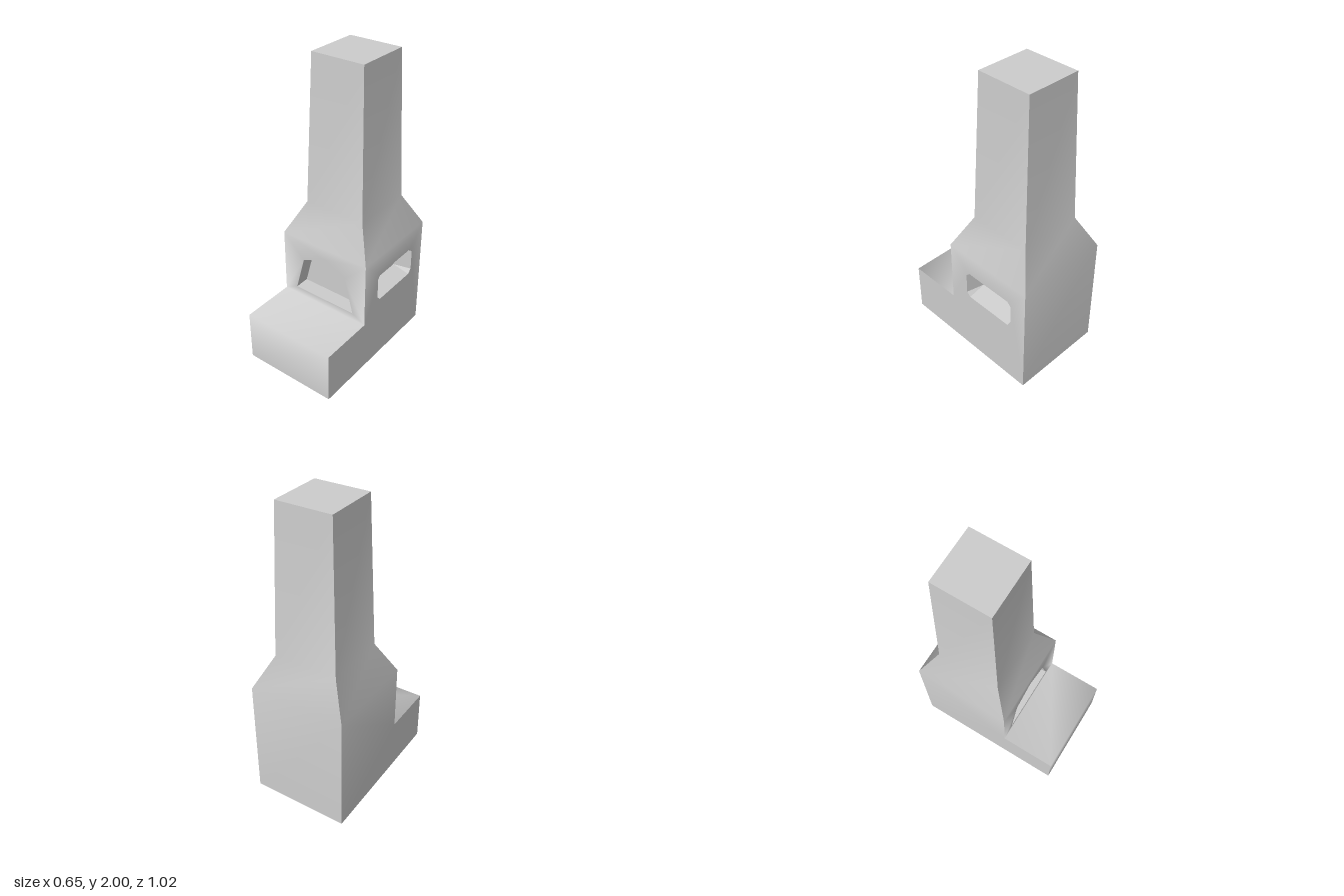
import * as THREE from 'three';
import { mergeGeometries, mergeVertices } from 'three/addons/utils/BufferGeometryUtils.js';

const material = new THREE.MeshStandardMaterial({ color: 0xcccccc });

// Flat quad from four corners, counter-clockwise seen from outside
function quad(a, b, c, d) {
  const g = new THREE.BufferGeometry();
  g.setAttribute('position', new THREE.Float32BufferAttribute([a, b, c, a, c, d].flat(), 3));
  return g;
}

// Flat wall from an outline with an optional hole
function wall(outline, hole) {
  const v = (p) => new THREE.Vector2(p[0], p[1]);
  const shape = new THREE.Shape(outline.map(v));
  if (hole) shape.holes.push(new THREE.Path(hole.map(v)));
  const g = new THREE.ShapeGeometry(shape).toNonIndexed();
  g.deleteAttribute('normal');
  g.deleteAttribute('uv');
  return g;
}

// Joins pieces into one named mesh; smooth pieces share their normals
function part(name, pieces, smooth = true) {
  let g = mergeGeometries(pieces);
  if (smooth) g = mergeVertices(g, 1e-4);
  g.computeVertexNormals();
  const mesh = new THREE.Mesh(g, material);
  mesh.name = name;
  return mesh;
}

// Walls and back of a sunken opening between two rings of corners
function recess(name, outer, inner) {
  const n = outer.length;
  const pieces = outer.map((p, i) => quad(p, outer[(i + 1) % n], inner[(i + 1) % n], inner[i]));
  for (let i = 1; i < n - 1; i++) pieces.push(quad(inner[0], inner[i], inner[i + 1], inner[i + 1]));
  return part(name, pieces, false);
}

export function createModel() {
  const group = new THREE.Group();
  const W = 0.325, F = 0.51, B = -0.51, Z = 0.14, H = 0.35, S = 0.8;

  // Square cross-sections of the body, shoulder and chimney
  const level = (y, w, f, b) => [[-w, y, f], [w, y, f], [w, y, b], [-w, y, b]];
  const base = level(0, W, F, B);
  const step = level(H, W, F, Z);
  const body = level(S, W, Z, B);
  const neck = level(1.02, 0.215, 0.03, -0.4);
  const top = level(2, 0.183, 0, -0.37);
  const face = (i, lo, hi) => quad(lo[i], lo[(i + 1) % 4], hi[(i + 1) % 4], hi[i]);
  const upper = (i) => [face(i, body, neck), face(i, neck, top)];

  // Front: hearth ledge, wall with the fire opening, shoulder and chimney
  const mouth = [[-0.23, 0.4], [0.23, 0.4], [0.165, 0.645], [0, 0.72], [-0.165, 0.645]];
  const frontWall = wall([[-W, H], [W, H], [W, S], [-W, S]], mouth).translate(0, 0, Z);
  group.add(part('front', [face(0, base, step), quad(...step), frontWall, ...upper(0)]));
  group.add(recess('fireOpening',
    mouth.map(([x, y]) => [x, y, Z]), mouth.map(([x, y]) => [x, y, Z - 0.1])));

  // Left side (+x) with the cut-cornered window niche
  const profile = [[-F, 0], [-B, 0], [-B, S], [-Z, S], [-Z, H], [-F, H]];
  const [u0, u1, y0, y1, c] = [0, 0.393, 0.457, 0.658, 0.028];
  const niche = [[u0 + c, y0], [u1 - c, y0], [u1, y0 + c], [u1, y1 - c],
    [u1 - c, y1], [u0 + c, y1], [u0, y1 - c], [u0, y0 + c]];
  const clamp = THREE.MathUtils.clamp;
  group.add(part('leftSide', [wall(profile, niche).rotateY(Math.PI / 2).translate(W, 0, 0), ...upper(1)]));
  group.add(recess('windowNiche',
    niche.map(([u, y]) => [W, y, -u]),
    niche.map(([u, y]) => [W - 0.12, clamp(y, y0 + c, y1 - c), -clamp(u, u0 + c, u1 - c)])));

  // Plain right side, back, chimney top and underside
  const mirrored = profile.map(([u, y]) => [-u, y]).reverse();
  group.add(part('rightSide', [wall(mirrored).rotateY(-Math.PI / 2).translate(-W, 0, 0), ...upper(3)]));
  group.add(part('back', [face(2, base, body), ...upper(2)]));
  group.add(part('chimneyTop', [quad(...top)]));
  group.add(part('underside', [quad(...[...base].reverse())]));
  return group;
}
